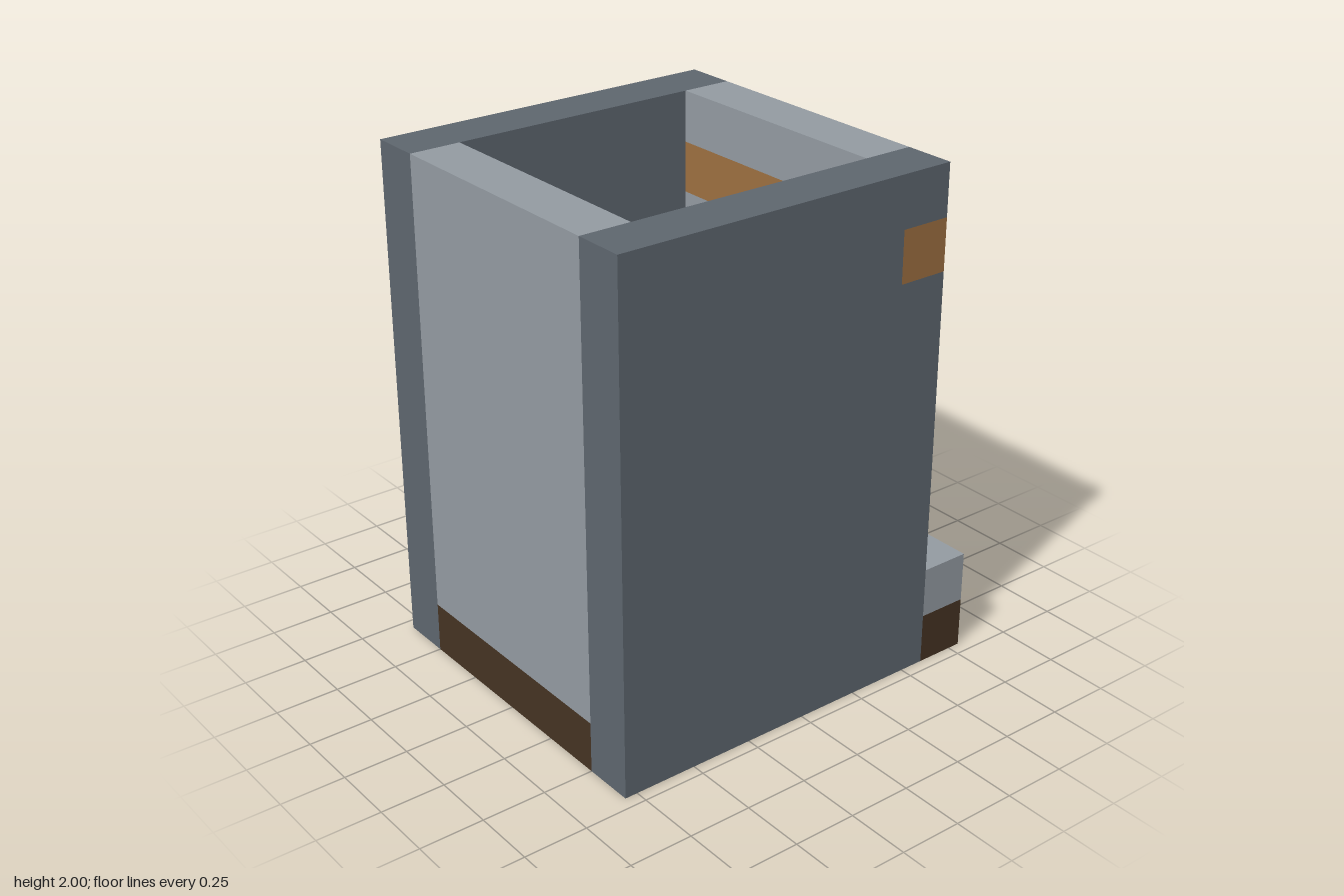
import * as THREE from 'three';

export function createModel() {
  const model = new THREE.Group();
  model.name = 'stoneShaft';

  const material = (name, color) => {
    const m = new THREE.MeshStandardMaterial({ color });
    m.name = name;
    return m;
  };
  const darkStone = material('darkStone', 0x5e666e);
  const lightStone = material('lightStone', 0x939aa1);
  const darkWood = material('darkWood', 0x453322);
  const lightWood = material('lightWood', 0x9d6f40);

  // Box given by its lower and upper corner
  const block = (name, mat, [x0, y0, z0], [x1, y1, z1]) => {
    const mesh = new THREE.Mesh(new THREE.BoxGeometry(x1 - x0, y1 - y0, z1 - z0), mat);
    mesh.position.set((x0 + x1) / 2, (y0 + y1) / 2, (z0 + z1) / 2);
    mesh.name = name;
    model.add(mesh);
  };

  // Side walls: profile in z and y, notched at the back for the beam
  const profile = new THREE.Shape([
    [0.8, 0], [0.8, 2], [-0.6, 2], [-0.6, 1.8], [-0.4, 1.8], [-0.4, 1.6], [-0.6, 1.6], [-0.6, 0],
  ].map(([z, y]) => new THREE.Vector2(z, y)));
  const wall = new THREE.ExtrudeGeometry(profile, { depth: 0.2, bevelEnabled: false });
  wall.rotateY(-Math.PI / 2);
  for (const [name, x] of [['leftWall', 0.7], ['rightWall', -0.5]]) {
    const mesh = new THREE.Mesh(wall, darkStone);
    mesh.position.x = x;
    mesh.name = name;
    model.add(mesh);
  }

  // Front and back panels between the walls
  block('frontPanel', lightStone, [-0.5, 0.2, 0.6], [0.5, 2, 0.8]);
  block('backPanel', lightStone, [-0.5, 0.2, -0.6], [0.5, 1.6, -0.4]);
  block('backLintel', lightStone, [-0.5, 1.8, -0.6], [0.5, 2, -0.4]);

  // Beam across the back
  block('beam', lightWood, [-0.7, 1.6, -0.6], [0.7, 1.8, -0.4]);

  // Floor and the ledge behind
  block('floor', darkWood, [-0.5, 0, -0.6], [0.5, 0.2, 0.8]);
  block('ledgeBase', darkWood, [-0.7, 0, -0.8], [0.7, 0.2, -0.6]);
  block('ledge', lightStone, [-0.7, 0.2, -0.8], [0.7, 0.4, -0.6]);

  return model;
}
